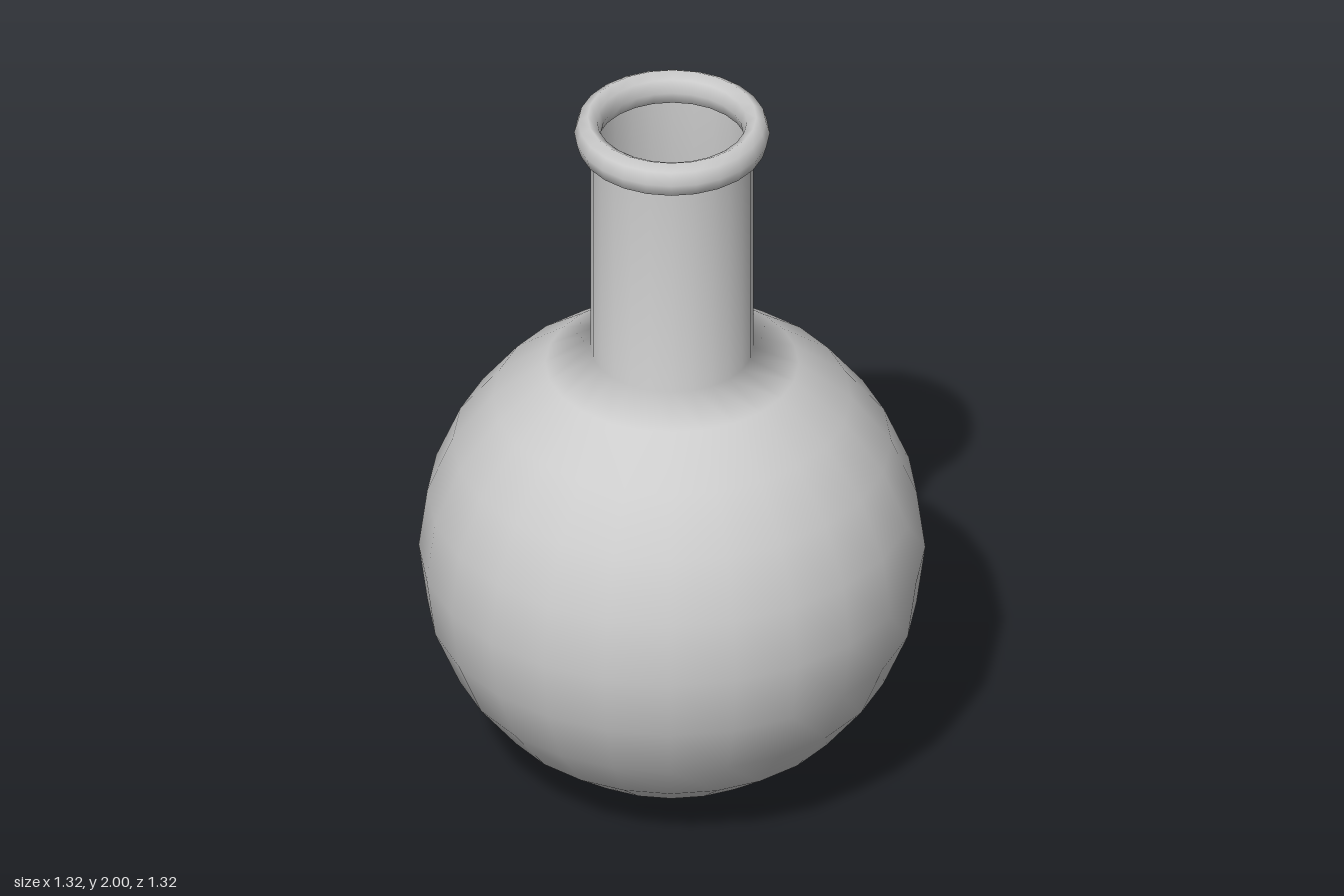
import * as THREE from 'three';

const SIDES = 24;
const BULB_RADIUS = 0.66;
const NECK_RADIUS = 0.212;

export function createModel() {
  const flask = new THREE.Group();
  flask.name = 'roundBottomFlask';
  const material = new THREE.MeshStandardMaterial({ color: 0xcccccc, side: THREE.DoubleSide });

  // Hollow body: round bulb running smoothly into a straight neck
  const profile = [];
  for (let i = 0; i <= 10; i++) {
    const angle = (i * Math.PI) / 12;
    profile.push(new THREE.Vector2(
      BULB_RADIUS * Math.sin(angle),
      BULB_RADIUS * (1 - Math.cos(angle)),
    ));
  }
  profile.push(new THREE.Vector2(NECK_RADIUS, 1.28), new THREE.Vector2(NECK_RADIUS, 1.95));
  const body = new THREE.Mesh(new THREE.LatheGeometry(profile, SIDES), material);
  body.name = 'bulbAndNeck';
  flask.add(body);

  // Rounded lip, taller than it is wide
  const lipGeometry = new THREE.TorusGeometry(0.22, 0.035, 8, SIDES);
  lipGeometry.rotateX(-Math.PI / 2);
  lipGeometry.scale(1, 0.05 / 0.035, 1);
  const lip = new THREE.Mesh(lipGeometry, material);
  lip.name = 'lip';
  lip.position.y = 1.95;
  flask.add(lip);

  return flask;
}
